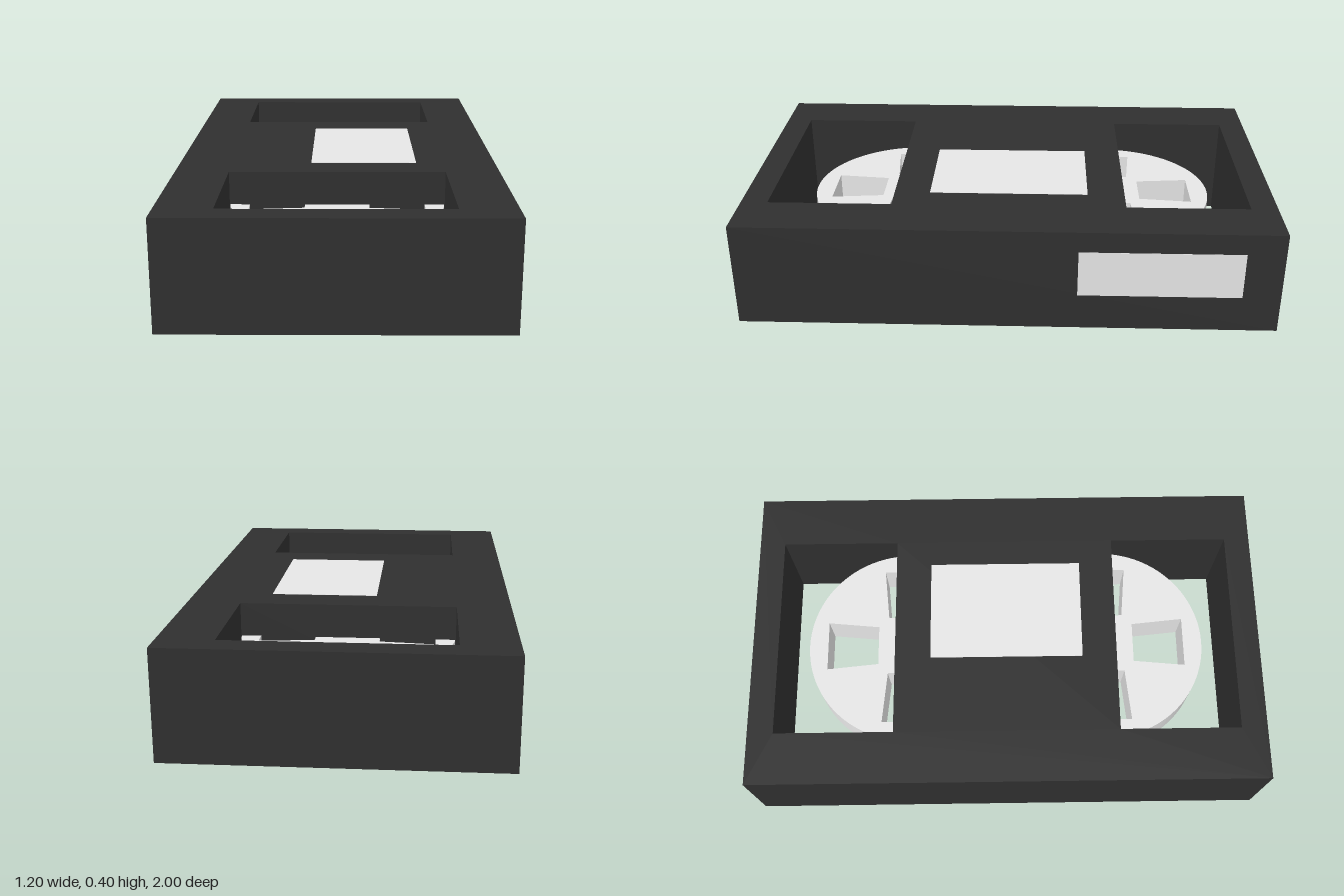
import * as THREE from 'three';

const shell = new THREE.MeshStandardMaterial({ name: 'charcoal plastic', color: 0x2f2f2f });
const pale = new THREE.MeshStandardMaterial({ name: 'pale grey', color: 0xe6e6e6 });

// closed outline from [x, z] corners
const outline = (pts, Type) => new Type(pts.map(([x, z]) => new THREE.Vector2(x, -z)));
const rect = (x0, x1, z0, z1) => [[x0, z0], [x1, z0], [x1, z1], [x0, z1]];

// slab standing between two heights; outer outline anticlockwise, holes clockwise
function slab(shape, y0, y1) {
  const g = new THREE.ExtrudeGeometry(shape, { depth: y1 - y0, bevelEnabled: false, curveSegments: 48 });
  return g.rotateX(-Math.PI / 2).translate(0, y0, 0);
}

function add(group, name, geometry, material) {
  const mesh = new THREE.Mesh(geometry, material);
  mesh.name = name;
  group.add(mesh);
  return mesh;
}

// tape reel: thick disc with four tapered spoke openings
function reelGeometry() {
  const disc = new THREE.Shape();
  disc.absarc(0, 0, 0.4, 0, Math.PI * 2);
  const wedge = [[-0.08, 0.12], [-0.1, 0.325], [0.1, 0.325], [0.08, 0.12]];
  for (let i = 0; i < 4; i++) {
    const a = i * Math.PI / 2, c = Math.cos(a), s = Math.sin(a);
    const hole = wedge.map(([x, z]) => [x * c - z * s, x * s + z * c]);
    disc.holes.push(outline(hole, THREE.Path));
  }
  return slab(disc, 0.125, 0.275);
}

export function createModel() {
  const group = new THREE.Group();
  group.name = 'videoCassette';

  // case with two windows cut right through
  const body = outline(rect(-0.6, 0.6, -1, 1).reverse(), THREE.Shape);
  body.holes.push(outline(rect(-0.4, 0.4, -0.9, -0.44), THREE.Path));
  body.holes.push(outline(rect(-0.4, 0.4, 0.435, 0.9), THREE.Path));
  add(group, 'case', slab(body, 0, 0.4), shell);

  // reels
  const reel = reelGeometry();
  add(group, 'backReel', reel, pale).position.z = -0.4;
  add(group, 'frontReel', reel, pale).position.z = 0.397;

  // labels on the top and on the left side, almost flush
  add(group, 'topLabel', new THREE.BoxGeometry(0.4, 0.004, 0.6), pale).position.set(0.1, 0.399, 0);
  add(group, 'sideLabel', new THREE.BoxGeometry(0.004, 0.18, 0.6), pale).position.set(0.599, 0.23, -0.56);

  return group;
}
